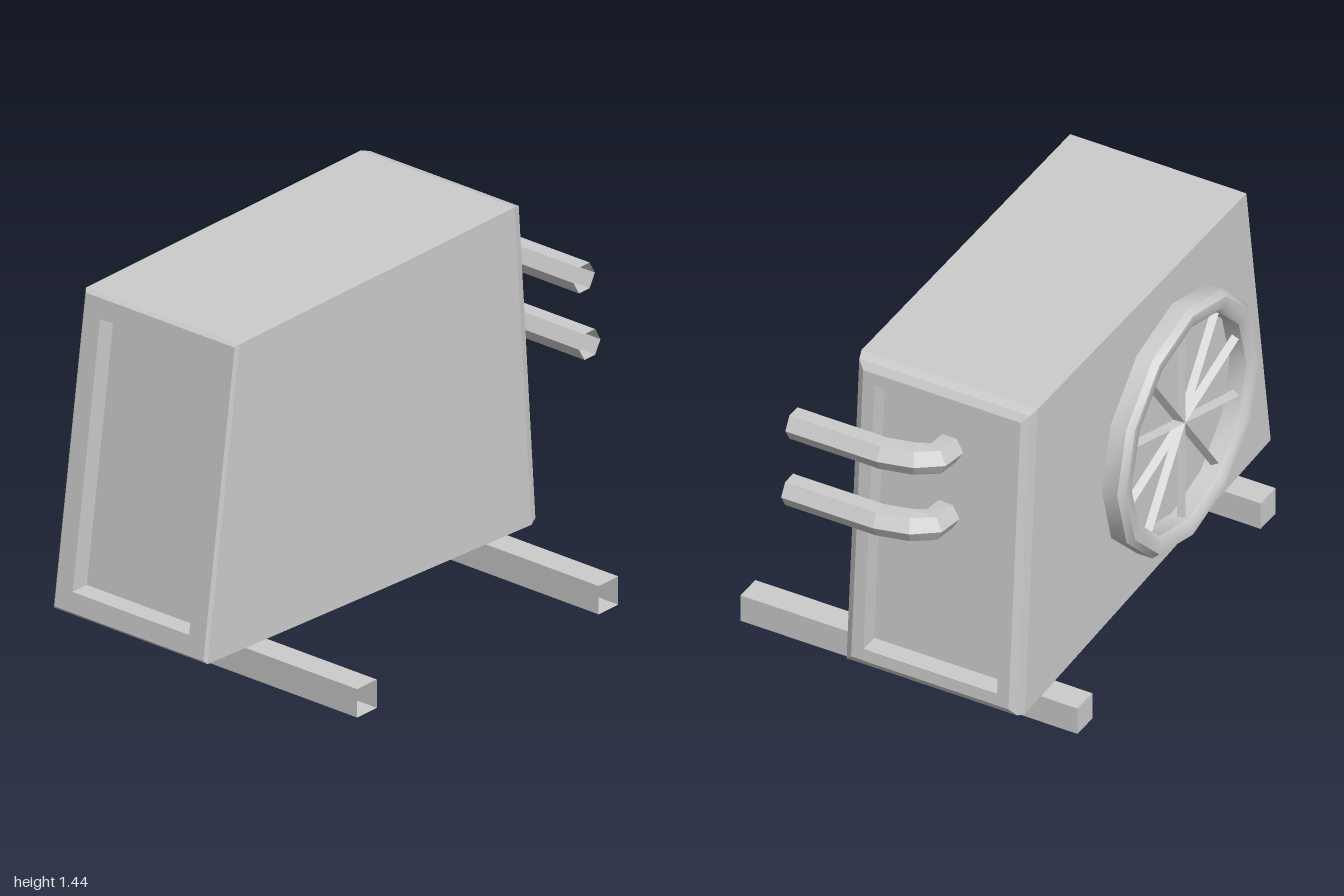
import * as THREE from 'three';
import { toCreasedNormals } from 'three/addons/utils/BufferGeometryUtils.js';

const V = (x, y, z) => new THREE.Vector3(x, y, z);
const material = (options = {}) => new THREE.MeshStandardMaterial({ color: 0xcccccc, ...options });

function addMesh(parent, name, geometry, mat) {
  const mesh = new THREE.Mesh(geometry, mat);
  mesh.name = name;
  parent.add(mesh);
  return mesh;
}

// Skin a series of closed cross-sections with flat faces
function loft(rings, capped) {
  const points = [];
  const quad = (a, b, c, d) => points.push(a, b, c, a, c, d);
  for (let i = 0; i < rings.length - 1; i++) {
    const r = rings[i], s = rings[i + 1];
    r.forEach((p, j) => {
      const k = (j + 1) % r.length;
      quad(p, r[k], s[k], s[j]);
    });
  }
  if (capped) {
    quad(...[...rings[0]].reverse());
    quad(...rings[rings.length - 1]);
  }
  const geometry = new THREE.BufferGeometry().setFromPoints(points);
  geometry.computeVertexNormals();
  return geometry;
}

// Rectangular cross-section of the leaning cabinet: side, depth inward, inset from the rim
function cabinetRing([side, depth, inset]) {
  const top = 1.437 - inset;
  const bottom = (side < 0 ? 0.205 : 0.115) + inset;
  const edge = (y) => side < 0
    ? -1 + 0.18 * (y - 0.205) / 1.232 + depth
    : 0.885 - 0.095 * (y - 0.115) / 1.322 - depth;
  const back = -0.56 + inset, front = 0.183 - inset;
  return [[top, back], [top, front], [bottom, front], [bottom, back]]
    .map(([y, z]) => V(edge(y), y, z));
}

// Hexagonal pipe bending out of the side recess towards the front
function pipeGeometry(x, y) {
  const path = [
    V(x - 0.18, y - 0.025, -0.185), V(x - 0.085, y - 0.015, -0.18), V(x - 0.03, y - 0.003, -0.12),
    V(x, y, -0.01), V(x, y, 0.372),
  ];
  const rings = path.map((p, i) => {
    const before = path[Math.max(i - 1, 0)], after = path[Math.min(i + 1, path.length - 1)];
    const d = after.clone().sub(before).setY(0).normalize();
    return Array.from({ length: 6 }, (_, j) => {
      const a = j * Math.PI / 3;
      const s = 0.06 * Math.cos(a);
      return V(p.x + d.z * s, p.y + 0.06 * Math.sin(a), p.z - d.x * s);
    });
  });
  return loft(rings, false);
}

export function createModel() {
  const model = new THREE.Group();
  model.name = 'outdoorCoolingUnit';
  const flat = material({ flatShading: true });
  const open = material({ flatShading: true, side: THREE.DoubleSide });

  // Cabinet with bevelled rims and a recessed panel in each side
  const sections = [
    [-1, 0.08, 0.09], [-1, 0, 0.09], [-1, 0, 0.012], [-1, 0.012, 0],
    [1, 0.055, 0], [1, 0.018, 0.012], [1, 0, 0.04], [1, 0, 0.09], [1, 0.08, 0.09],
  ];
  addMesh(model, 'cabinet', loft(sections.map(cabinetRing), true), flat);

  // Support rails: square tubes open at the front end
  [['leftRail', 0.65, 0.0575], ['rightRail', -0.705, 0.1275]].forEach(([name, x, y]) => {
    const box = new THREE.BoxGeometry(0.11, 0.115, 1.42);
    box.setIndex(Array.from(box.index.array).filter((_, i) => i < 24 || i >= 30));
    box.clearGroups();
    addMesh(model, name, box, open).position.set(x, y, 0);
  });

  // Pipes
  addMesh(model, 'upperPipe', pipeGeometry(0.907, 1.147), open);
  addMesh(model, 'lowerPipe', pipeGeometry(0.938, 0.866), open);

  // Fan on the back: twelve-sided rim with ten ridged spokes
  const fan = new THREE.Group();
  fan.name = 'fan';
  fan.position.set(-0.255, 0.768, -0.56);
  fan.rotation.x = -Math.PI / 2;
  model.add(fan);
  const profile = [[0.517, -0.01], [0.517, 0.065], [0.495, 0.09], [0.455, 0.09], [0.43, 0.07], [0.43, -0.01]]
    .map(([r, h]) => new THREE.Vector2(r, h));
  addMesh(fan, 'fanRim', toCreasedNormals(new THREE.LatheGeometry(profile, 12), 0.7), material());
  const spoke = new THREE.CylinderGeometry(0.018, 0.018, 0.43, 3)
    .rotateX(-Math.PI / 2).translate(0, 0.04, 0.215);
  for (let i = 0; i < 10; i++) {
    addMesh(fan, 'fanSpoke', spoke, flat).rotation.y = i * Math.PI / 5;
  }

  return model;
}
